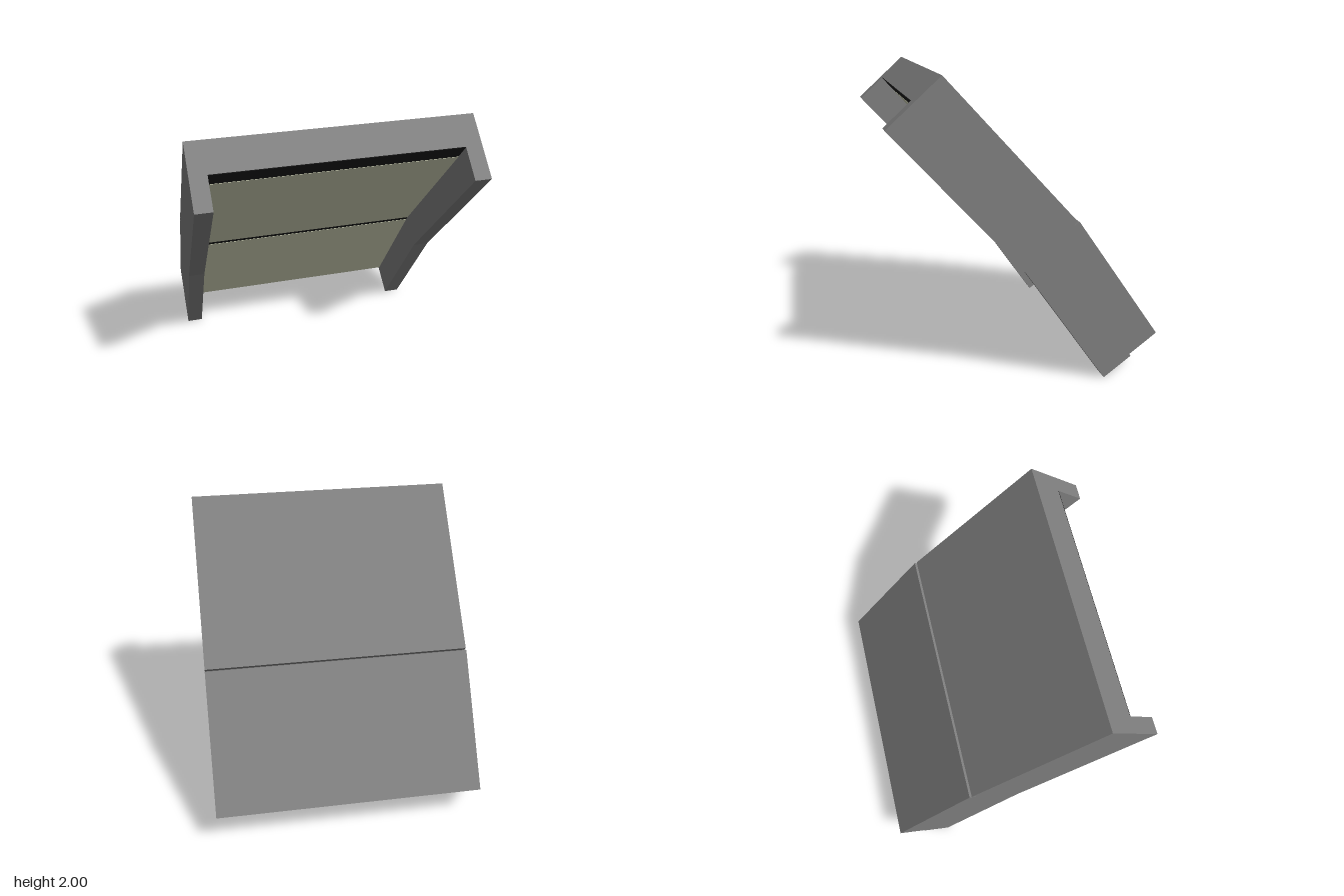
import * as THREE from 'three';

const mat = (name, color) => {
  const m = new THREE.MeshStandardMaterial({ color });
  m.name = name;
  return m;
};

// Side outline points are [z, y]
const T = [0.705, 1.85];      // inner top of the panel
const M = [-0.14, 0.925];     // inner bend
const S = [-0.685, 0.147];    // inner bottom of the panel

// Point at height y on the line through p and q
const at = (p, q, y) => [p[0] + (q[0] - p[0]) * (y - p[1]) / (q[1] - p[1]), y];

// Extrude a side outline across x
function extrudeX(name, points, width, x, material) {
  const shape = new THREE.Shape(points.map(p => new THREE.Vector2(p[0], p[1])));
  const geo = new THREE.ExtrudeGeometry(shape, { depth: width, bevelEnabled: false });
  geo.translate(0, 0, -width / 2);
  geo.rotateY(-Math.PI / 2);
  geo.translate(x, 0, 0);
  const mesh = new THREE.Mesh(geo, material);
  mesh.name = name;
  return mesh;
}

// Thin plate lying on the front of the panel, from p (upper) down to q
function plate(name, p, q, thickness, material) {
  const dz = q[0] - p[0], dy = q[1] - p[1], l = Math.hypot(dz, dy);
  const nz = -dy / l * thickness, ny = dz / l * thickness;
  const outline = [p, q, [q[0] + nz, q[1] + ny], [p[0] + nz, p[1] + ny]];
  return extrudeX(name, outline, 1.6, 0, material);
}

export function createModel() {
  const grey = mat('grey', 0x808080);
  const screen = mat('pale green', 0xcfd2b6);
  const black = mat('black', 0x181818);
  const group = new THREE.Group();

  // Full-width bent back panel with a small groove at the bend
  group.add(extrudeX('backPanel', [
    [0.54, 2.0], T, M, S, [-0.87, 0.28],
    [-0.312, 1.08], [-0.265, 1.054], [-0.297, 1.086],
  ], 1.82, 0, grey));

  // Side rails projecting forward
  for (const [name, s] of [['leftRail', 1], ['rightRail', -1]]) {
    group.add(extrudeX(name, [
      T, [0.875, 1.695], [0.03, 0.77], [-0.51, 0], [-0.695, 0.133], M,
    ], 0.11, s * 0.855, grey));
  }

  // Black strips at the top and the bend
  group.add(plate('topStrip', T, at(T, M, 1.75), 0.004, black));
  group.add(plate('bendStripUpper', at(T, M, 0.935), M, 0.004, black));
  group.add(plate('bendStripLower', M, at(M, S, 0.895), 0.004, black));

  // Green inner faces
  group.add(plate('upperFace', at(T, M, 1.75), at(T, M, 0.933), 0.006, screen));
  group.add(plate('lowerFace', at(M, S, 0.903), S, 0.006, screen));
  return group;
}
